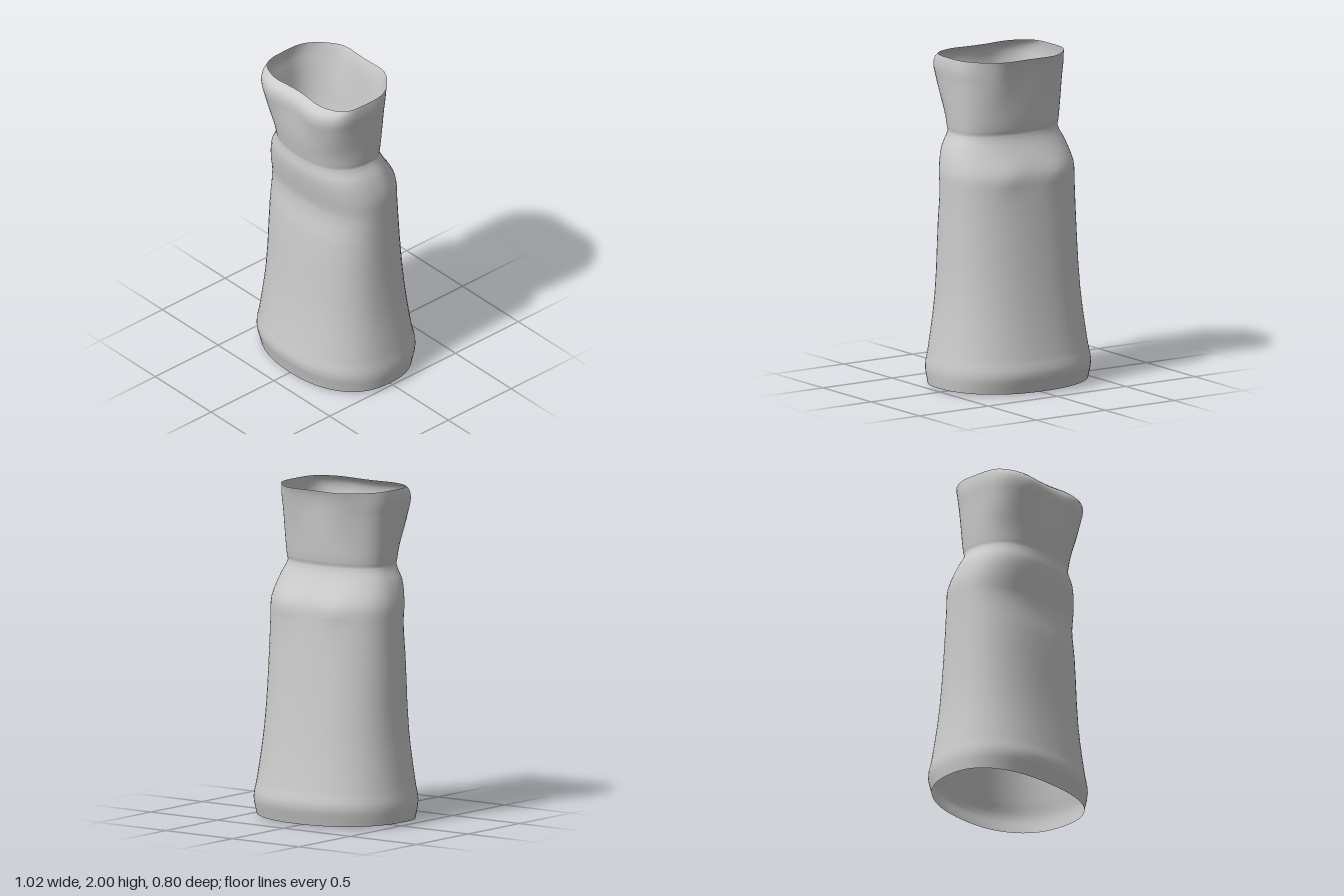
import * as THREE from 'three';

// Silhouette from hem to neckline: [y, half width, front z, back z]
const PROFILE = [
  [0.02, 0.50, 0.37, -0.37],
  [0.12, 0.51, 0.40, -0.40],
  [0.22, 0.494, 0.385, -0.38],
  [0.55, 0.452, 0.342, -0.332],
  [1.00, 0.434, 0.308, -0.286],
  [1.20, 0.430, 0.281, -0.270],
  [1.32, 0.427, 0.302, -0.257],
  [1.45, 0.390, 0.321, -0.186],
  [1.535, 0.346, 0.313, -0.152],
  [1.57, 0.350, 0.320, -0.160],
  [1.70, 0.360, 0.343, -0.174],
  [1.85, 0.370, 0.354, -0.186],
  [1.92, 0.377, 0.358, -0.194],
  [1.97, 0.375, 0.342, -0.205],
  [2.00, 0.371, 0.304, -0.216],
];
const SEGMENTS = 72;
const STEPS = 3; // rings per profile interval
const smoothstep = THREE.MathUtils.smoothstep;

// One ring point: front and back half superellipses, dented along the centre line
function ringPoint(y, [w, front, back], a, isHem) {
  const c = Math.cos(a), s = Math.sin(a), isFront = s >= 0;
  const mid = 0.02 + 0.02 * smoothstep(y, 1.3, 1.45);
  // the bust squares off the front towards the neckline
  const n = isFront ? 2.3 + 0.2 * smoothstep(y, 0, 1.2) + 2.3 * smoothstep(y, 1.6, 2) : 2.3;
  const r = Math.pow(Math.abs(c) ** n + Math.abs(s) ** n, -1 / n);
  const x = w * r * c;
  // paired swells left and right of the centre: bust, shoulder blades and seat
  const swell = isFront
    ? 0.016 * smoothstep(y, 1.75, 1.91)
    : -0.024 * smoothstep(y, 1.65, 2) - 0.012 * Math.exp(-(((y - 1.29) / 0.08) ** 2));
  const bulge = swell * Math.exp(-((Math.abs(x) - 0.19) ** 2) / 0.009) * Math.abs(s);
  const z = mid + (isFront ? front - mid : mid - back) * r * s + bulge;
  // the hem dips at the front and back
  const dip = isHem ? (isFront ? 0.02 : 0.01) * s * s : 0;
  return [x, y - dip, z];
}

// Skin the rings into one open tube
function dressGeometry() {
  const heights = PROFILE.map((p) => p[0]);
  const spline = new THREE.CubicInterpolant(heights, PROFILE.flatMap((p) => p.slice(1)), 3);
  const rows = (PROFILE.length - 1) * STEPS;
  const positions = [], indices = [];
  for (let row = 0; row <= rows; row++) {
    const k = Math.min(Math.floor(row / STEPS), PROFILE.length - 2);
    const y = THREE.MathUtils.lerp(heights[k], heights[k + 1], row / STEPS - k);
    const size = row === rows ? PROFILE[k + 1].slice(1) : [...spline.evaluate(y)];
    for (let i = 0; i < SEGMENTS; i++) {
      positions.push(...ringPoint(y, size, (i / SEGMENTS) * Math.PI * 2, row === 0));
      if (row === rows) continue;
      const a = row * SEGMENTS + i, b = row * SEGMENTS + ((i + 1) % SEGMENTS);
      indices.push(a, a + SEGMENTS, b, b, a + SEGMENTS, b + SEGMENTS);
    }
  }
  const geometry = new THREE.BufferGeometry();
  geometry.setAttribute('position', new THREE.Float32BufferAttribute(positions, 3));
  geometry.setIndex(indices);
  geometry.computeVertexNormals();
  return geometry;
}

export function createModel() {
  const group = new THREE.Group();
  group.name = 'straplessDress';
  // Hem, skirt, waist and bodice in one thin cloth surface
  const material = new THREE.MeshStandardMaterial({ color: 0xcccccc, side: THREE.DoubleSide });
  const dress = new THREE.Mesh(dressGeometry(), material);
  dress.name = 'dress';
  group.add(dress);
  return group;
}
